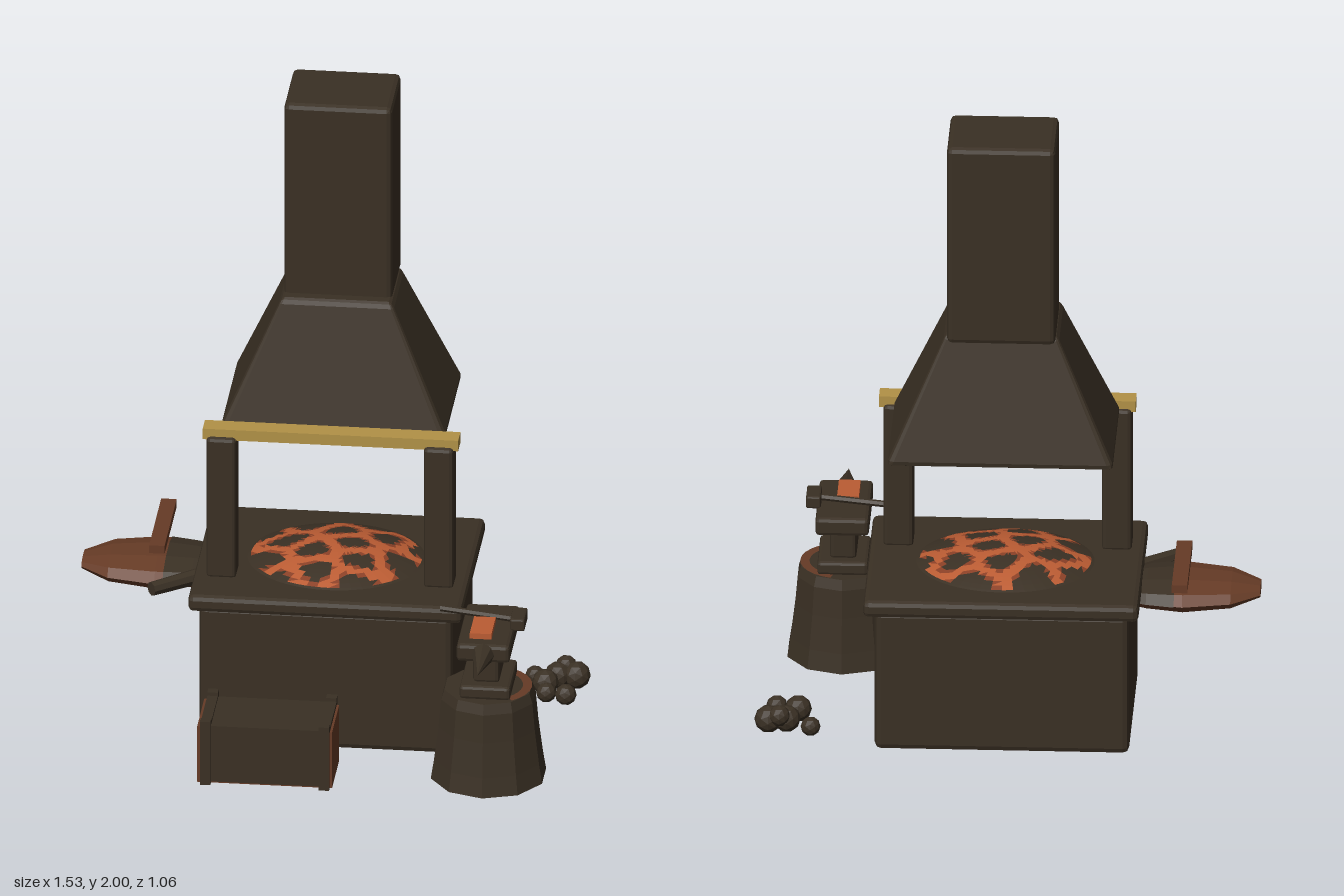
import * as THREE from 'three';
import { RoundedBoxGeometry } from 'three/addons/geometries/RoundedBoxGeometry.js';

const mat = (name, color, side = THREE.FrontSide) => {
  const m = new THREE.MeshStandardMaterial({ color, side });
  m.name = name;
  return m;
};

// Faceted copy of a geometry
const flat = (g) => {
  const f = g.index ? g.toNonIndexed() : g;
  f.computeVertexNormals();
  return f;
};

export function createModel() {
  const root = new THREE.Group();
  root.name = 'forgeWorkshop';
  const iron = mat('darkIron', 0x3a3024);
  const wood = mat('brownLeather', 0x663b26);
  const brass = mat('brass', 0xb29247);
  const hot = mat('hotOrange', 0xbb5c33);
  const ember = mat('emberRed', 0x8a4026);

  const add = (name, geo, material, parent = root) => {
    const m = new THREE.Mesh(flat(geo), material);
    m.name = name;
    parent.add(m);
    return m;
  };
  // Box from min/max extents, with an optional chamfer
  const box = (name, [x0, x1], [y0, y1], [z0, z1], material, bevel = 0, parent = root) => {
    const size = [x1 - x0, y1 - y0, z1 - z0];
    const geo = bevel ? new RoundedBoxGeometry(...size, 1, bevel) : new THREE.BoxGeometry(...size);
    geo.translate((x0 + x1) / 2, (y0 + y1) / 2, (z0 + z1) / 2);
    return add(name, geo, material, parent);
  };

  // Hearth
  box('hearthBase', [-0.375, 0.395], [0, 0.46], [-0.475, 0.105], iron, 0.02);
  box('hearthSlab', [-0.405, 0.428], [0.453, 0.507], [-0.512, 0.14], iron, 0.016);

  // Coal bed: a dome whose faces glow along the cracks between coals
  const rings = 14, segs = 48, seeds = [];
  for (let i = 0; i < 15; i++) {
    const r = Math.sqrt((i + 0.5) / 15), a = i * 2.4;
    seeds.push([r * Math.cos(a), r * Math.sin(a)]);
  }
  const dome = (i, j) => {
    const r = i / rings, a = (j / segs) * Math.PI * 2;
    return [r * Math.cos(a), r * Math.sin(a)];
  };
  const faces = { iron: [], hot: [], ember: [] };
  const place = ([u, v]) => [0.012 + u * 0.28, 0.503 + 0.057 * (1 - u * u - v * v), -0.185 + v * 0.245];
  for (let i = 0; i < rings; i++) {
    for (let j = 0; j < segs; j++) {
      const a = dome(i, j), b = dome(i + 1, j), c = dome(i + 1, j + 1), d = dome(i, j + 1);
      for (const tri of i ? [[a, c, b], [a, d, c]] : [[a, c, b]]) {
        const u = (tri[0][0] + tri[1][0] + tri[2][0]) / 3, v = (tri[0][1] + tri[1][1] + tri[2][1]) / 3;
        const dist = seeds.map(([x, y]) => Math.hypot(u - x, v - y)).sort((p, q) => p - q);
        const gap = dist[1] - dist[0];
        const key = Math.hypot(u, v) > 0.92 || gap > 0.17 ? 'iron' : gap > 0.11 ? 'ember' : 'hot';
        faces[key].push(...tri.flatMap(place));
      }
    }
  }
  const coalMats = { iron, hot, ember };
  for (const key in faces) {
    const g = new THREE.BufferGeometry();
    g.setAttribute('position', new THREE.Float32BufferAttribute(faces[key], 3));
    add('coalBed_' + key, g, coalMats[key]);
  }

  // Posts and beam
  for (const x of [-0.365, 0.296]) box('post', [x, x + 0.09], [0.5, 0.97], [-0.09, -0.004], iron, 0.012);
  box('beam', [-0.377, 0.4], [0.96, 0.995], [-0.08, -0.018], brass);

  // Tapered hood and chimney
  const hood = new RoundedBoxGeometry(0.695, 0.405, 0.46, 1, 0.018);
  const p = hood.attributes.position;
  for (let i = 0; i < p.count; i++) {
    const t = p.getY(i) / 0.405 + 0.5;
    p.setX(i, p.getX(i) * (1 - 0.52 * t));
    p.setZ(i, p.getZ(i) * (1 - 0.43 * t));
  }
  hood.translate(0.0125, 1.1675, -0.305);
  add('hood', hood, iron);
  box('chimney', [-0.152, 0.176], [1.352, 2], [-0.477, -0.214], iron, 0.016);

  // Bellows: flattened lathe lying along x, dark cover on its upper inner half
  const bellows = new THREE.Group();
  bellows.name = 'bellows';
  root.add(bellows);
  const lathe = (pts, sides, start = 0, len = Math.PI * 2) =>
    new THREE.LatheGeometry(pts.map(([r, h]) => new THREE.Vector2(r, h)), sides, start, len);
  const lay = (g, grow) => g.rotateZ(Math.PI / 2).scale(1, 0.31 * grow, grow).translate(0, 0.445, -0.215);
  const body = lathe([[0, 0.34], [0.11, 0.36], [0.135, 0.42], [0.155, 0.53], [0.125, 0.675], [0.055, 0.762], [0, 0.762]], 10);
  add('bellowsBody', lay(body, 1), wood, bellows);
  const cover = lathe([[0.11, 0.36], [0.135, 0.42], [0.151, 0.505]], 5, 0, Math.PI);
  add('bellowsCover', lay(cover, 1.03), mat('darkIronSheet', 0x3a3024, THREE.DoubleSide), bellows);
  const nozzle = new THREE.CylinderGeometry(0.022, 0.026, 0.22, 8).rotateZ(Math.PI / 2).rotateY(0.68);
  add('bellowsNozzle', nozzle.translate(-0.445, 0.46, -0.065), iron, bellows);
  box('bellowsHandle', [-0.55, -0.503], [0.525, 0.551], [-0.44, -0.11], wood, 0, bellows);

  // Quenching trough with end hoops
  const trough = new THREE.Group();
  trough.name = 'trough';
  root.add(trough);
  box('troughCore', [-0.345, 0.065], [0.022, 0.208], [0.224, 0.42], wood, 0, trough);
  box('troughShell', [-0.325, 0.05], [0.028, 0.214], [0.218, 0.426], iron, 0, trough);
  for (const x of [-0.335, 0.026]) {
    for (const z of [0.205, 0.412]) box('hoopPost', [x, x + 0.032], [0.022, 0.233], [z, z + 0.028], iron, 0, trough);
    box('hoopTop', [x, x + 0.032], [0.2, 0.222], [0.233, 0.412], iron, 0, trough);
  }

  // Stump
  const stump = lathe([[0, 0.008], [0.178, 0.008], [0.168, 0.07], [0.154, 0.18], [0.146, 0.27], [0.136, 0.302], [0, 0.302]], 10);
  add('stump', stump.translate(0.52, 0, 0.235), iron);
  const rim = new THREE.RingGeometry(0.105, 0.133, 10, 1, -0.9, 2.2).rotateX(-Math.PI / 2);
  add('stumpRim', rim.translate(0.52, 0.306, 0.235), wood);

  // Anvil
  const anvil = new THREE.Group();
  anvil.name = 'anvil';
  root.add(anvil);
  box('anvilFoot', [0.443, 0.597], [0.302, 0.346], [0.13, 0.34], iron, 0.01, anvil);
  box('anvilWaist', [0.48, 0.56], [0.34, 0.45], [0.165, 0.303], iron, 0.012, anvil);
  box('anvilFace', [0.439, 0.601], [0.45, 0.508], [0.09, 0.388], iron, 0.012, anvil);
  const horn = new THREE.ConeGeometry(0.036, 0.15, 8).rotateX(Math.PI / 2);
  add('anvilHorn', horn.translate(0.52, 0.477, 0.456), iron, anvil);
  box('hotBillet', [0.475, 0.541], [0.508, 0.526], [0.222, 0.342], hot, 0, anvil);

  // Hammer
  box('hammerHead', [0.588, 0.633], [0.502, 0.542], [0.175, 0.266], iron, 0.006);
  const handle = new THREE.CylinderGeometry(0.01, 0.01, 0.25, 6).rotateZ(Math.PI / 2).rotateY(-0.22);
  add('hammerHandle', handle.translate(0.49, 0.523, 0.197), iron);

  // Loose coal
  for (const [x, y, z, r] of [
    [0.592, 0.04, -0.396, 0.03], [0.686, 0.075, -0.4, 0.033], [0.72, 0.055, -0.38, 0.043], [0.665, 0.055, -0.375, 0.042],
    [0.633, 0.06, -0.31, 0.041], [0.64, 0.045, -0.27, 0.031], [0.7, 0.045, -0.262, 0.033],
  ]) add('coalLump', new THREE.IcosahedronGeometry(r, 1).translate(x, y, z), iron);

  return root;
}
